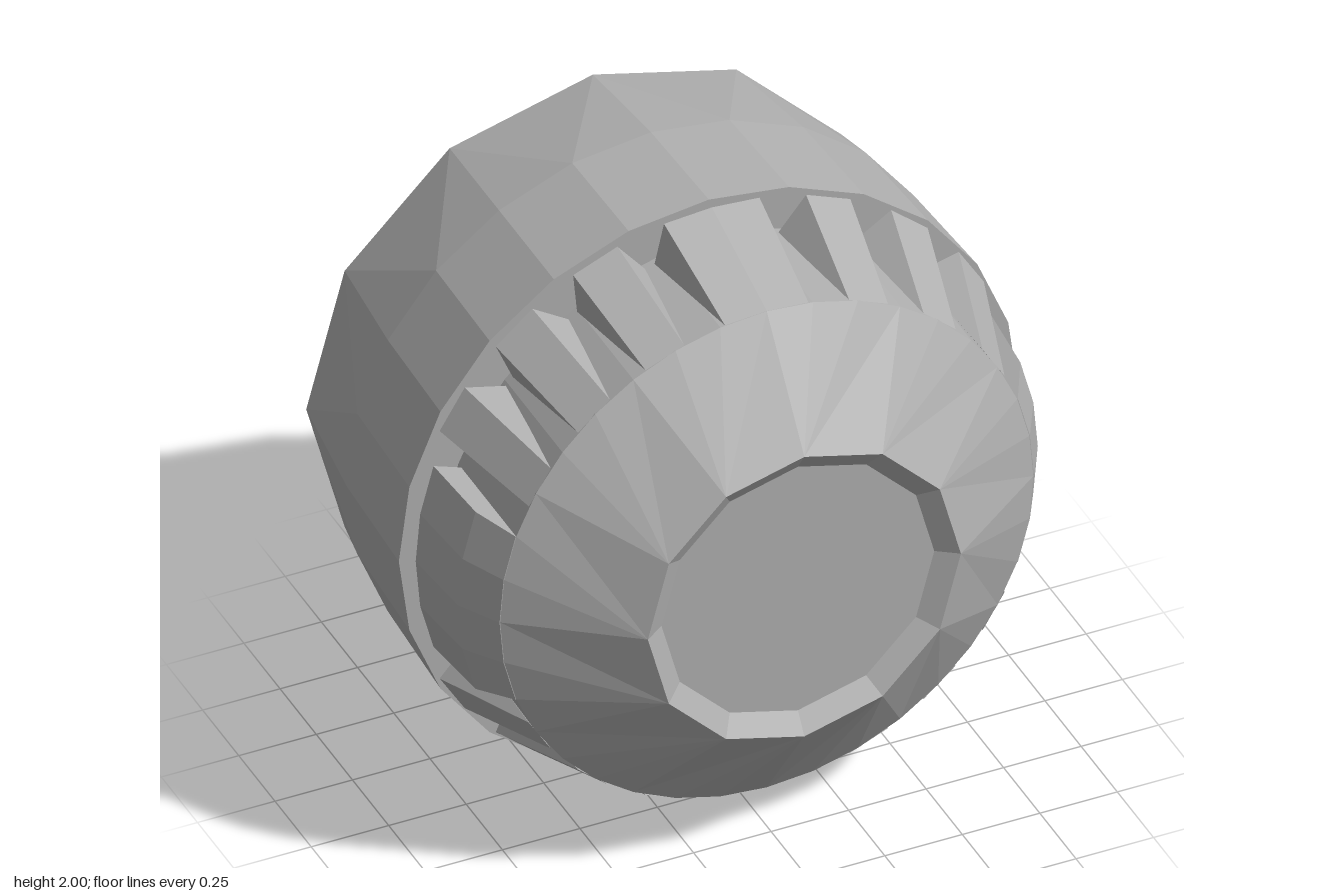
import * as THREE from 'three';

const RAD = Math.PI / 180;

export function createModel() {
  const group = new THREE.Group();
  group.name = 'ridgedKnob';
  const grey = new THREE.MeshStandardMaterial({ color: 0xb0b0b0 });
  grey.name = 'grey';

  function add(name, geometry) {
    const flat = geometry.index ? geometry.toNonIndexed() : geometry;
    flat.computeVertexNormals();
    const mesh = new THREE.Mesh(flat, grey);
    mesh.name = name;
    mesh.position.y = 1;
    group.add(mesh);
  }

  // Turned shape about z. Rows are [radius, z, coarseness]; a coarseness of
  // n merges every n neighbouring corners into one for a lower-poly rim.
  function turned(name, rows, sides) {
    const at = ([r, z, merge = 1], k) => {
      const a = Math.round(Math.floor(k / merge) * merge) / sides * Math.PI * 2;
      return [r * Math.sin(a), r * Math.cos(a), z];
    };
    const pos = [];
    const tri = (...corners) => {
      const [a, b, c] = corners.map(p => new THREE.Vector3(...p));
      const area = b.clone().sub(a).cross(c.clone().sub(a)).length();
      if (area > 1e-7) corners.forEach(p => pos.push(...p));
    };
    for (let i = 0; i < rows.length - 1; i++) {
      for (let k = 0; k < sides; k++) {
        const a = at(rows[i], k), b = at(rows[i], k + 1);
        const c = at(rows[i + 1], k), d = at(rows[i + 1], k + 1);
        tri(a, c, b);
        tri(b, c, d);
      }
    }
    const g = new THREE.BufferGeometry();
    g.setAttribute('position', new THREE.Float32BufferAttribute(pos, 3));
    add(name, g);
  }

  // Rear barrel with a shallow recessed back
  turned('rearBarrel', [
    [0, -0.69, 2], [0.885, -0.69, 2], [0.925, -0.73, 2],
    [0.98, -0.33], [1, 0.07], [0, 0.07],
  ], 24);

  // Front collar, sloping face and recessed centre
  turned('frontCollar', [
    [0.86, 0.06], [0.86, 0.47], [0.505, 0.73, 3], [0.44, 0.685, 3], [0, 0.685, 3],
  ], 36);

  // Raised piece on the collar, angles measured from the top in degrees.
  // The first profile point is the back foot, which spreads sideways.
  function raised(name, from, to, profile, spread, steps) {
    const mid = (from + to) / 2, half = (to - from) / 2;
    const n = profile.length, pos = [], index = [];
    for (let s = 0; s <= steps; s++) {
      const t = -1 + 2 * s / steps;
      profile.forEach(([r, z], i) => {
        const a = (mid + t * (half + (i === 0 ? spread : 0))) * RAD;
        pos.push(r * Math.sin(a), r * Math.cos(a), z);
      });
    }
    for (let s = 0; s < steps; s++) {
      for (let i = 0; i < n; i++) {
        const a = s * n + i, b = s * n + (i + 1) % n;
        index.push(a, b, a + n, b, b + n, a + n);
      }
    }
    const end = steps * n;
    for (let i = 1; i < n - 1; i++) {
      index.push(0, i + 1, i, end, end + i, end + i + 1);
    }
    const g = new THREE.BufferGeometry();
    g.setAttribute('position', new THREE.Float32BufferAttribute(pos, 3));
    g.setIndex(index);
    add(name, g);
  }

  // Grip teeth rise towards the back; wide pads sit on both sides
  const tooth = [[0.855, 0.09], [0.985, 0.09], [0.861, 0.47]];
  const pad = [[0.85, 0.09], [0.955, 0.09], [0.935, 0.34], [0.862, 0.47], [0.85, 0.47]];
  for (const base of [0, 180]) {
    raised('wideTooth', base - 9, base + 9, tooth, 3.5, 2);
    for (const side of [-1, 1]) {
      for (const c of [22.5, 40.5, 58.5]) {
        raised('gripTooth', base + side * c - 4.5, base + side * c + 4.5, tooth, 3.5, 1);
      }
    }
    raised('sidePad', base + 70, base + 110, pad, 0, 4);
  }
  return group;
}
